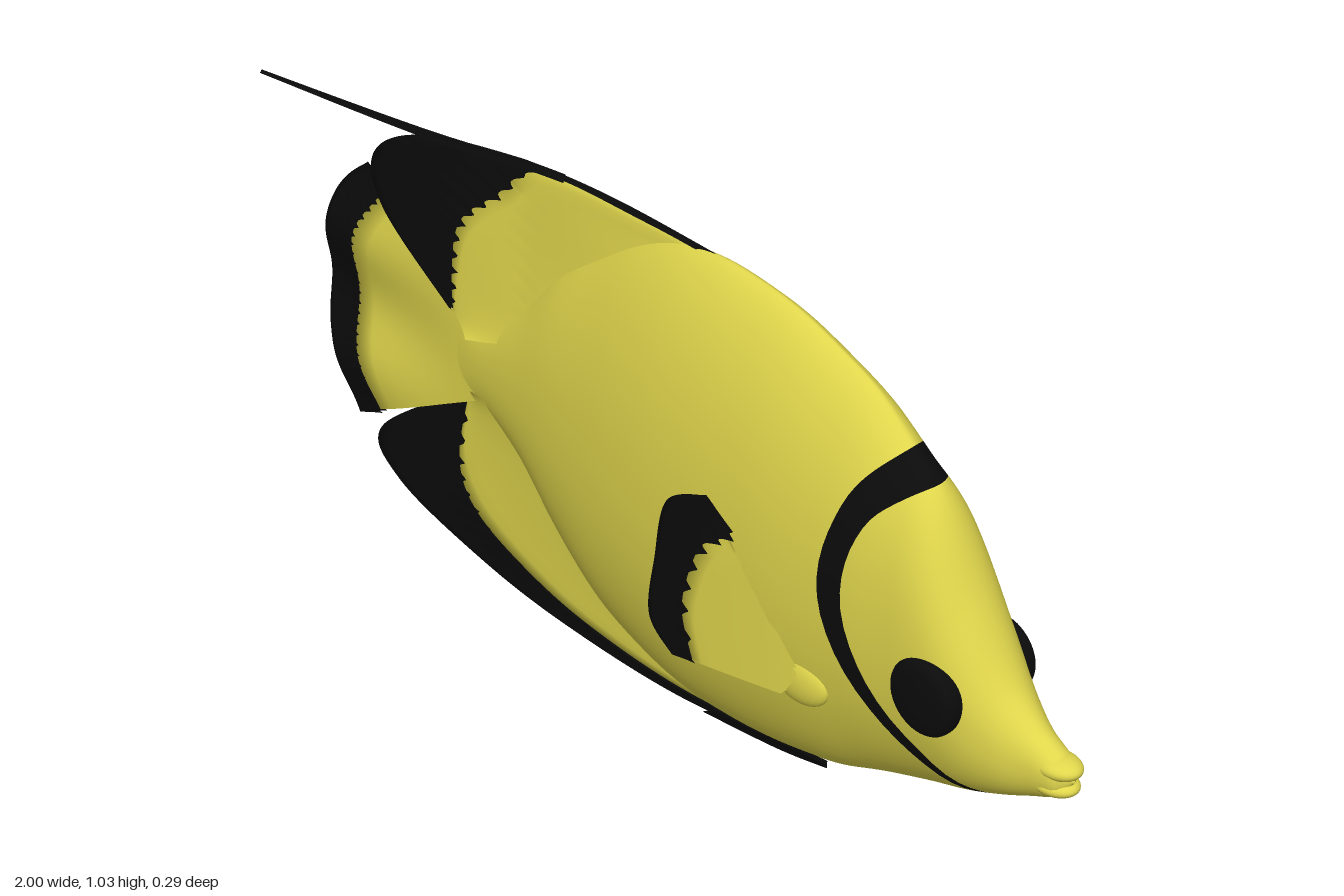
import * as THREE from 'three';

const yellow = new THREE.MeshStandardMaterial({ color: 0xe0d64c });
const black = new THREE.MeshStandardMaterial({ color: 0x0b0b0b });
const yellowSheet = yellow.clone(), blackSheet = black.clone();
yellowSheet.side = blackSheet.side = THREE.DoubleSide;

// Smooth table lookup: rows of [key, value, value, ...]
function table(rows) {
  const n = rows[0].length - 1;
  const interp = new THREE.CubicInterpolant(
    rows.map(r => r[0]), rows.flatMap(r => r.slice(1)), n, new Float32Array(n));
  return k => [...interp.evaluate(k)];
}

// Indexed surface from point(i, j); wrap joins the last column to the first
function grid(rows, cols, point, wrap = false) {
  const pos = [], idx = [], w = wrap ? cols : cols + 1;
  for (let i = 0; i <= rows; i++) for (let j = 0; j < w; j++) pos.push(...point(i / rows, j / cols));
  for (let i = 0; i < rows; i++) for (let j = 0; j < cols; j++) {
    const a = i * w + j, b = i * w + (j + 1) % w, c = a + w, d = b + w;
    idx.push(a, c, b, b, c, d);
  }
  const g = new THREE.BufferGeometry();
  g.setAttribute('position', new THREE.Float32BufferAttribute(pos, 3));
  g.setIndex(idx);
  g.computeVertexNormals();
  return g;
}

function mesh(name, geometry, material, parent) {
  const m = new THREE.Mesh(geometry, material);
  m.name = name;
  parent.add(m);
  return m;
}

// Body stations: x, top, bottom, half width
const section = table([
  [-0.58, 0.60, 0.42, 0.004], [-0.5, 0.605, 0.41, 0.022], [-0.4, 0.69, 0.34, 0.046],
  [-0.3, 0.81, 0.22, 0.07], [-0.2, 0.895, 0.125, 0.09], [-0.1, 0.965, 0.07, 0.106],
  [0, 1.01, 0.035, 0.117], [0.1, 1.025, 0.022, 0.123], [0.2, 1.018, 0.02, 0.126],
  [0.3, 0.998, 0.028, 0.127], [0.4, 0.96, 0.045, 0.124], [0.5, 0.91, 0.078, 0.118],
  [0.585, 0.835, 0.105, 0.11], [0.666, 0.755, 0.13, 0.106], [0.757, 0.567, 0.157, 0.095],
  [0.837, 0.425, 0.185, 0.07], [0.9, 0.36, 0.21, 0.047], [0.94, 0.333, 0.226, 0.039],
  [0.965, 0.316, 0.24, 0.032], [0.985, 0.28, 0.274, 0.003]]);

// Edges of the head band: x for each normalised height
const bandRear = table([[-1, 0.8], [-0.77, 0.676], [-0.53, 0.57], [-0.27, 0.49],
  [0.03, 0.45], [0.49, 0.49], [1, 0.585]]);
const bandFront = table([[-1, 0.83], [-0.71, 0.7], [-0.465, 0.596], [-0.21, 0.532],
  [0.05, 0.505], [0.5, 0.543], [1, 0.648]]);

// Part of the body between two x limits that depend on the height
function bodyPart(rows, from, to) {
  return grid(rows, 72, (s, t) => {
    const a = t * Math.PI * 2, v = Math.sin(a);
    const x = THREE.MathUtils.lerp(from(v)[0], to(v)[0], s);
    const [top, bottom, w] = section(x);
    const power = 0.7 - 0.2 * THREE.MathUtils.smoothstep(x, 0.45, 0.75);
    const z = w * Math.pow(Math.max(0, 1 - Math.abs(v) ** 2.2), power) * Math.sign(Math.cos(a));
    return [x, (top + bottom) / 2 + v * (top - bottom) / 2, z];
  }, true);
}

const curve = pts => new THREE.SplineCurve(pts.map(p => new THREE.Vector2(...p)));

// Two-sided sheet between two curves, thinning from tIn to tOut, bent by zOf(x, y)
function sheet(inner, outer, tIn, tOut, zOf) {
  return grid(120, 16, (u, q) => {
    const v = q * 2 - 1, k = 1 - Math.abs(v);
    const p = inner(u).lerp(outer(u), k);
    const t = tOut + (tIn - tOut) * (1 - k) ** 2;
    return [p.x, p.y, zOf(p.x, p.y) + Math.sign(v) * t];
  });
}

// Fin with a yellow web and a black border whose scallops overlap the web
function fin(name, { base, margin, edge, thick, scallops, depth, zOf }) {
  const g = new THREE.Group();
  g.name = name;
  const b = curve(base), m = curve(margin), e = curve(edge);
  const border = u => {
    const p = m.getPoint(u), room = p.distanceTo(e.getPoint(u));
    p.x += Math.min(depth, room * 0.25) * (1 - Math.abs(Math.sin(u * Math.PI * scallops)));
    return p;
  };
  mesh(name + 'Web', sheet(u => b.getPoint(u), u => m.getPoint(u), thick, 0.003, zOf), yellowSheet, g);
  mesh(name + 'Border', sheet(border, u => e.getPoint(u), 0.006, 0.001, zOf), blackSheet, g);
  return g;
}

export function createModel() {
  const fish = new THREE.Group();
  fish.name = 'fish';

  // Body in three pieces
  mesh('trunk', bodyPart(70, () => [-0.58], bandRear), yellow, fish);
  mesh('headBand', bodyPart(8, bandRear, bandFront), black, fish);
  mesh('head', bodyPart(48, bandFront, () => [0.985]), yellow, fish);

  // Lips
  for (const [name, x, y, h] of [['upperLip', 0.945, 0.297, 0.023], ['lowerLip', 0.937, 0.256, 0.021]]) {
    const lip = mesh(name, new THREE.SphereGeometry(1, 32, 20), yellow, fish);
    lip.position.set(x, y, 0);
    lip.scale.set(0.055, h, 0.039);
  }

  // Dorsal fin with its trailing filament
  const dorsalZ = x => 0.07 * Math.max(0, (-0.4 - x) / 0.6);
  fish.add(fin('dorsalFin', {
    base: [[0.2, 0.93], [0.03, 0.9], [-0.12, 0.84], [-0.25, 0.75], [-0.35, 0.67], [-0.43, 0.6], [-0.52, 0.57]],
    margin: [[0.15, 1.012], [-0.1, 1.016], [-0.36, 1.0], [-0.47, 0.9], [-0.55, 0.81], [-0.568, 0.7], [-0.565, 0.61]],
    edge: [[0.15, 1.022], [-0.15, 1.028], [-0.37, 1.012], [-0.62, 0.972], [-0.742, 0.89], [-0.725, 0.77], [-0.575, 0.61]],
    thick: 0.02, scallops: 18, depth: 0.02, zOf: dorsalZ }));
  const upper = curve([[-0.3, 1.022], [-0.6, 0.985], [-1, 0.962]]);
  const lower = curve([[-0.3, 1.005], [-0.6, 0.968], [-1, 0.957]]);
  mesh('dorsalFilament', sheet(u => lower.getPoint(u), u => upper.getPoint(u), 0.005, 0.001, dorsalZ), blackSheet, fish);

  // Anal fin
  fish.add(fin('analFin', {
    base: [[0.3, 0.1], [0.1, 0.13], [-0.1, 0.2], [-0.22, 0.28], [-0.32, 0.37], [-0.42, 0.43], [-0.52, 0.45]],
    margin: [[0.3, 0.032], [0, 0.022], [-0.25, 0.055], [-0.42, 0.112], [-0.53, 0.18], [-0.567, 0.27], [-0.547, 0.408]],
    edge: [[0.34, 0.03], [0, 0.002], [-0.31, 0.028], [-0.53, 0.078], [-0.72, 0.155], [-0.762, 0.25], [-0.56, 0.42]],
    thick: 0.02, scallops: 18, depth: 0.02, zOf: () => 0 }));

  // Tail fin with a gentle wave
  fish.add(fin('tailFin', {
    base: [[-0.5, 0.58], [-0.5, 0.545], [-0.5, 0.507], [-0.5, 0.47], [-0.5, 0.435]],
    margin: [[-0.775, 0.755], [-0.84, 0.64], [-0.845, 0.5], [-0.83, 0.38], [-0.78, 0.272]],
    edge: [[-0.822, 0.795], [-0.895, 0.7], [-0.92, 0.49], [-0.89, 0.37], [-0.842, 0.232]],
    thick: 0.012, scallops: 24, depth: 0.012,
    zOf: (x, y) => Math.max(0, (-0.55 - x) / 0.35) * (-0.018 + 0.014 * Math.sin(y * 22)) }));

  // Paired parts on both flanks
  const disc = curve([[0.076, -0.05], [0.08, 0], [0.077, 0.018], [0.062, 0.027], [0.03, 0.031], [0.0001, 0.032]]);
  const eyeGeometry = new THREE.LatheGeometry(disc.getPoints(24), 48);
  const pelvicIn = curve([[0.38, 0.05], [0.25, 0.042], [0.1, 0.034]]);
  const pelvicOut = curve([[0.38, 0.035], [0.25, 0.016], [0.06, 0.008]]);
  for (const [side, s] of [['left', -1], ['right', 1]]) {
    const eye = mesh(side + 'Eye', eyeGeometry, black, fish);
    eye.position.set(0.705, 0.385, s * 0.094);
    eye.rotation.x = s * Math.PI / 2;

    // Pectoral fin and the swelling it grows from
    fish.add(fin(side + 'PectoralFin', {
      base: [[0.4, 0.3], [0.395, 0.29], [0.39, 0.28], [0.38, 0.265], [0.365, 0.245]],
      margin: [[0.235, 0.535], [0.175, 0.49], [0.14, 0.41], [0.125, 0.32], [0.15, 0.225]],
      edge: [[0.184, 0.604], [0.088, 0.55], [0.058, 0.41], [0.045, 0.28], [0.1, 0.215]],
      thick: 0.004, scallops: 7, depth: 0.025,
      zOf: x => s * (0.112 + 0.028 * Math.sqrt(Math.max(0, (0.41 - x) / 0.36))) }));
    const root = mesh(side + 'PectoralRoot', new THREE.SphereGeometry(1, 24, 16), yellow, fish);
    root.position.set(0.39, 0.275, s * 0.1);
    root.scale.set(0.07, 0.05, 0.02);

    mesh(side + 'PelvicFin', sheet(u => pelvicIn.getPoint(u), u => pelvicOut.getPoint(u), 0.006, 0.001,
      (x, y) => s * (0.014 + 0.25 * (y - 0.01))), blackSheet, fish);
  }
  return fish;
}
